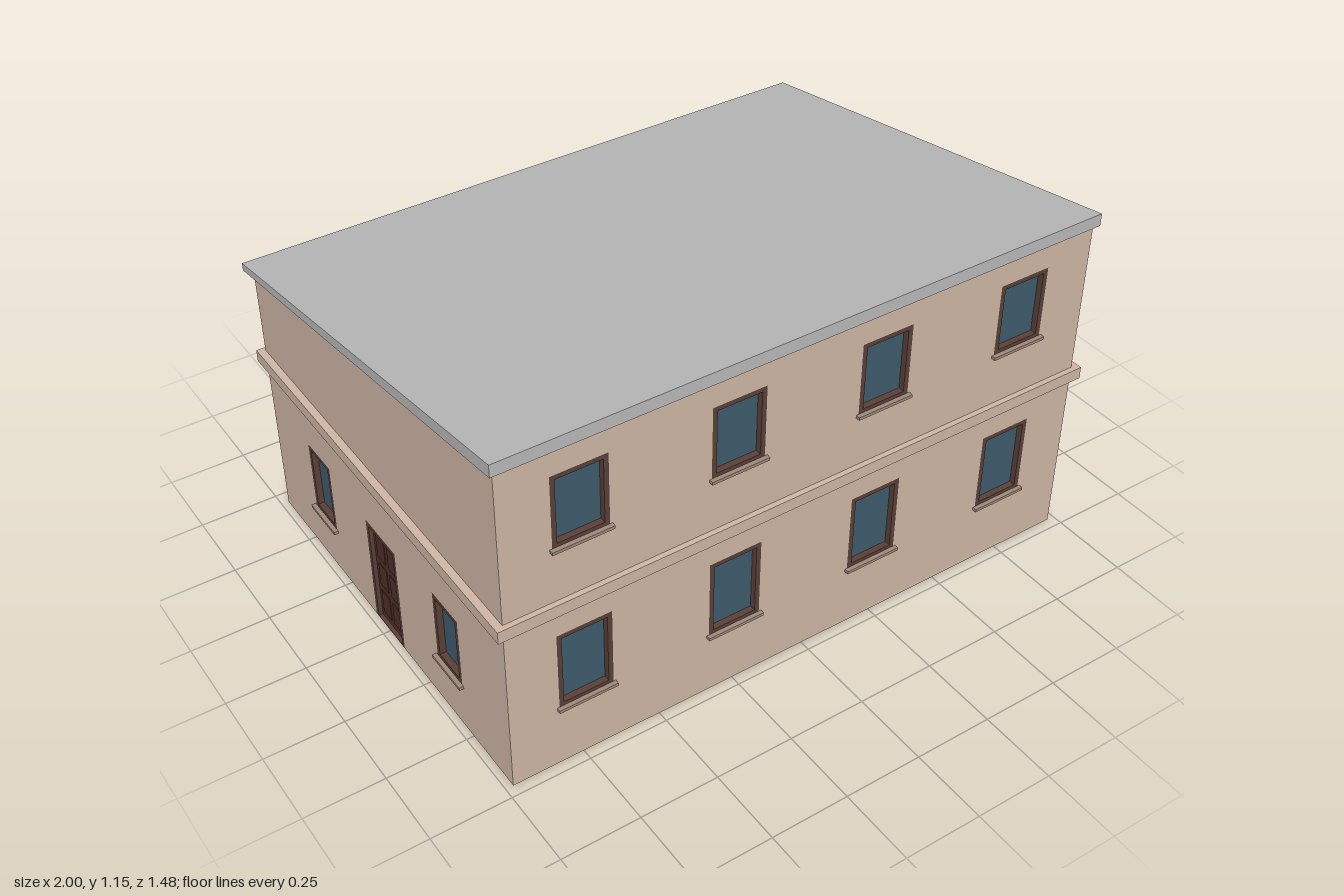
import * as THREE from 'three';

const mat = (color, side = THREE.FrontSide) =>
  new THREE.MeshStandardMaterial({ color, side, flatShading: true });
const wallMat = mat(0xd0b8a6, THREE.DoubleSide);
const roofMat = mat(0xbbbbbb);
const frameMat = mat(0x5a4038);
const glassMat = mat(0x3f5b6c);
const doorMat = mat(0x4f302b);
const sillMat = mat(0xa08a7c);

// Main dimensions
const HX = 0.976, ZF = 0.715, ZB = -0.703;
const BAND0 = 0.56, BAND1 = 0.6;
const underside = z => 0.877 + (z + 0.737) * 0.158;
const DEPTH = 0.03, BORDER = 0.015;

function add(parent, name, geometry, material, x = 0, y = 0, z = 0) {
  const mesh = new THREE.Mesh(geometry, material);
  mesh.name = name;
  mesh.position.set(x, y, z);
  parent.add(mesh);
  return mesh;
}

const box = (w, h, d) => new THREE.BoxGeometry(w, h, d);

const polygon = pts => new THREE.Shape(pts.map(p => new THREE.Vector2(p[0], p[1])));

function rectPath(x0, y0, x1, y1) {
  return new THREE.Path([[x0, y0], [x0, y1], [x1, y1], [x1, y0]].map(p => new THREE.Vector2(...p)));
}

// Frame recessed into the wall; the outer face is flush with it
function addFrame(parent, name, u, y0, y1, w, bottom) {
  const a = u - w / 2, b = u + w / 2;
  const shape = polygon([[a, y0], [b, y0], [b, y1], [a, y1]]);
  shape.holes.push(rectPath(a + BORDER, y0 + bottom, b - BORDER, y1 - BORDER));
  const geo = new THREE.ExtrudeGeometry(shape, { depth: DEPTH, bevelEnabled: false });
  add(parent, name, geo, frameMat, 0, 0, -DEPTH);
}

function addWindow(parent, { u, y0, y1, w, sill }) {
  const g = new THREE.Group();
  g.name = 'window';
  addFrame(g, 'windowFrame', u, y0, y1, w, BORDER);
  add(g, 'windowPane', box(w - BORDER, y1 - y0 - BORDER, 0.006), glassMat, u, (y0 + y1) / 2, -0.023);
  add(g, 'windowSill', box(w + 0.015, sill, 0.02), sillMat, u, y0 - sill / 2 + 0.003, 0.004);
  parent.add(g);
}

function addDoor(parent, { u, y0, y1, w }) {
  const g = new THREE.Group();
  g.name = 'door';
  addFrame(g, 'doorFrame', u, y0, y1, w, 0.002);
  add(g, 'doorLeaf', box(w - BORDER, y1 - y0 - BORDER, 0.01), doorMat, u, (y0 + y1 - BORDER) / 2, -0.018);
  for (const side of [-1, 1])
    for (let row = 0; row < 3; row++)
      add(g, 'doorPanel', box(0.05, 0.085, 0.014), doorMat, u + side * 0.034, 0.07 + row * 0.11, -0.018);
  parent.add(g);
}

// One side of the house: lower and upper sheet with openings, facing local +z
function addWall(parent, name, { u0, u1, top0, top1, angle, x = 0, z = 0, windows = [], doors = [] }) {
  const g = new THREE.Group();
  g.name = name;
  g.rotation.y = angle;
  g.position.set(x, 0, z);
  const lower = polygon([[u0, 0], [u1, 0], [u1, BAND0], [u0, BAND0]]);
  const upper = polygon([[u0, BAND1], [u1, BAND1], [u1, top1], [u0, top0]]);
  for (const o of [...windows, ...doors]) {
    const target = o.y0 > BAND1 ? upper : lower;
    target.holes.push(rectPath(o.u - o.w / 2, o.y0, o.u + o.w / 2, o.y1));
  }
  add(g, 'lowerWall', new THREE.ShapeGeometry(lower), wallMat);
  add(g, 'upperWall', new THREE.ShapeGeometry(upper), wallMat);
  windows.forEach(o => addWindow(g, o));
  doors.forEach(o => addDoor(g, o));
  parent.add(g);
}

// Band between the floors: a stepped-out ring, hollow towards the inside
function bandGeometry() {
  const ring = (out, y) => [
    [-HX - out * 1.4, y, ZF + out], [HX + out * 1.4, y, ZF + out],
    [HX + out * 1.4, y, ZB - out * 0.85], [-HX - out * 1.4, y, ZB - out * 0.85]];
  const rings = [ring(0, BAND0), ring(0.017, BAND0), ring(0.017, BAND1), ring(0, BAND1)];
  const pos = [];
  for (let i = 0; i < 3; i++)
    for (let j = 0; j < 4; j++) {
      const k = (j + 1) % 4;
      const [a, b, c, d] = [rings[i][j], rings[i][k], rings[i + 1][k], rings[i + 1][j]];
      pos.push(...a, ...b, ...c, ...a, ...c, ...d);
    }
  const geo = new THREE.BufferGeometry();
  geo.setAttribute('position', new THREE.Float32BufferAttribute(pos, 3));
  geo.computeVertexNormals();
  return geo;
}

export function createModel() {
  const house = new THREE.Group();
  house.name = 'house';

  // Front: two rows of four windows
  const columns = [-0.735, -0.247, 0.242, 0.732];
  const front = columns.flatMap(u => [
    { u, y0: 0.21, y1: 0.475, w: 0.172, sill: 0.01 },
    { u, y0: 0.778, y1: 1.015, w: 0.172, sill: 0.01 }]);
  const topF = underside(ZF), topB = underside(ZB);
  addWall(house, 'frontWall', { u0: -HX, u1: HX, top0: topF, top1: topF, angle: 0, z: ZF, windows: front });

  // Back: three ground-floor windows
  const back = [-0.732, -0.242, 0.735].map(u => ({ u, y0: 0.135, y1: 0.37, w: 0.172, sill: 0.015 }));
  addWall(house, 'backWall', { u0: -HX, u1: HX, top0: topB, top1: topB, angle: Math.PI, z: ZB, windows: back });

  // Left side is blank, right side has the door between two windows
  addWall(house, 'leftWall', { u0: -ZF, u1: -ZB, top0: topF, top1: topB, angle: Math.PI / 2, x: HX });
  addWall(house, 'rightWall', {
    u0: ZB, u1: ZF, top0: topB, top1: topF, angle: -Math.PI / 2, x: -HX,
    windows: [-0.388, 0.383].map(u => ({ u, y0: 0.16, y1: 0.4, w: 0.14, sill: 0.01 })),
    doors: [{ u: 0, y0: 0.001, y1: 0.37, w: 0.178 }],
  });

  add(house, 'floorBand', bandGeometry(), wallMat);

  // Single-pitch roof, thicker at the front, overhanging the right side
  const profile = polygon([[-0.739, 1.11], [0.737, 0.877], [0.737, 0.902], [-0.739, 1.15]]);
  const roof = add(house, 'roof',
    new THREE.ExtrudeGeometry(profile, { depth: 1.972, bevelEnabled: false }), roofMat, -0.995);
  roof.rotation.y = Math.PI / 2;

  return house;
}
